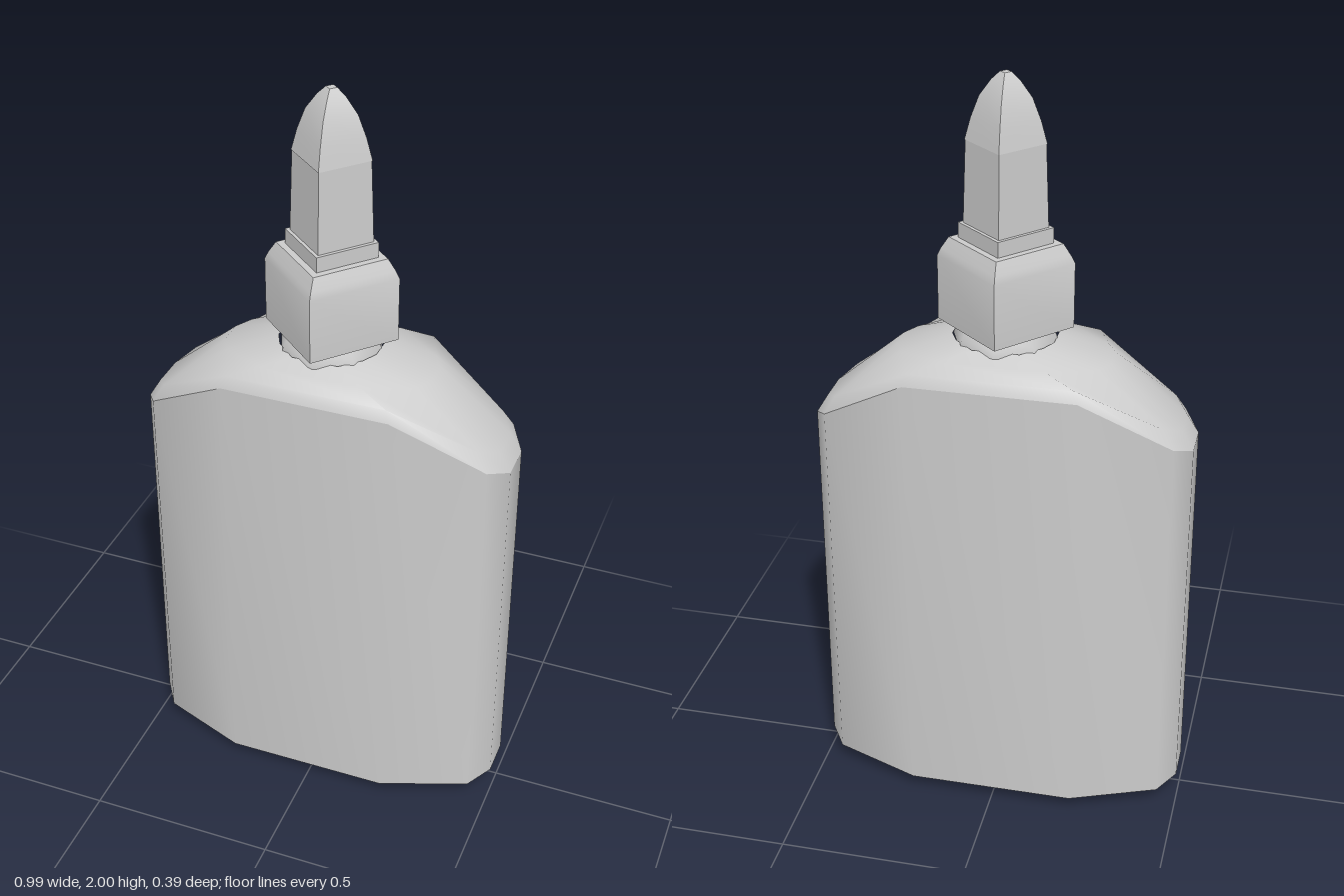
import * as THREE from 'three';
import { toCreasedNormals } from 'three/addons/utils/BufferGeometryUtils.js';

const material = new THREE.MeshStandardMaterial({ color: 0xcccccc });

// One quarter [x, z, y] x 3 mirrored into a closed 12-point ring, counter-clockwise from above
function ring(quarter) {
  const q = quarter.map(([x, z, y]) => [x, y, z]);
  const back = [...q].reverse();
  return [
    ...back.map(([x, y, z]) => [x, y, -z]),
    ...q.map(([x, y, z]) => [-x, y, -z]),
    ...back.map(([x, y, z]) => [-x, y, z]),
    ...q,
  ];
}

// Skin a stack of rings, listed from low to high
function loft(quarters, crease) {
  const rings = quarters.map(ring);
  const n = rings[0].length;
  const index = [];
  for (let r = 0; r < rings.length - 1; r++) {
    for (let i = 0; i < n; i++) {
      const j = (i + 1) % n;
      const a = r * n + i, b = r * n + j, c = a + n, d = b + n;
      index.push(a, b, c, b, d, c);
    }
  }
  const g = new THREE.BufferGeometry();
  g.setAttribute('position', new THREE.Float32BufferAttribute(rings.flat(2), 3));
  g.setIndex(index);
  return toCreasedNormals(g, crease);
}

// Turned part with few sides; profile is [radius, y] from low to high
function turned(profile, sides, crease) {
  const g = new THREE.LatheGeometry(profile.map(([r, y]) => new THREE.Vector2(r, y)), sides);
  return toCreasedNormals(g, crease);
}

export function createModel() {
  const bottle = new THREE.Group();
  bottle.name = 'glueBottle';
  const add = (parent, name, geometry) => {
    const mesh = new THREE.Mesh(geometry, material);
    mesh.name = name;
    parent.add(mesh);
  };

  // Body quarter rings: broad face corner, slanted corner, narrow side corner
  const foot = [[0.22, 0.195, 0.04], [0.45, 0.117, 0.05], [0.495, 0.05, 0.06]];
  const rim = [[0.22, 0.195, 1.25], [0.45, 0.117, 1.11], [0.492, 0.05, 1.08]];
  const centre = [[0, 0, 0], [0, 0, 0], [0, 0, 0]];
  const base = [[0.2, 0.13, 0], [0.41, 0.085, 0.016], [0.455, 0.04, 0.022]];
  add(bottle, 'base', loft([centre, base, foot], 0.5));
  add(bottle, 'bodyWalls', loft([foot, rim], 1.05));

  // Shoulder rises from the dipping rim to the neck
  add(bottle, 'shoulder', loft([
    rim,
    [[0.21, 0.183, 1.28], [0.425, 0.1, 1.155], [0.462, 0.045, 1.13]],
    [[0.13, 0.15, 1.307], [0.25, 0.08, 1.29], [0.275, 0.035, 1.29]],
    [[0.06, 0.115, 1.33], [0.11, 0.07, 1.332], [0.13, 0.03, 1.332]],
  ], 1.1));

  add(bottle, 'neck', turned([[0.135, 1.32], [0.13, 1.34], [0.115, 1.365], [0, 1.365]], 8, 0.9));

  // Four-sided cap and nozzle, turned corner-on
  const top = new THREE.Group();
  top.name = 'capAndNozzle';
  top.rotation.y = 0.06;
  bottle.add(top);
  add(top, 'cap', turned(
    [[0, 1.36], [0.172, 1.36], [0.172, 1.53], [0.162, 1.55], [0.142, 1.58], [0, 1.58]], 4, 0.8));
  add(top, 'collar', turned([[0.118, 1.575], [0.118, 1.62], [0, 1.62]], 4, 0.8));
  add(top, 'nozzle', turned([[0.106, 1.61], [0.098, 1.835], [0, 1.835]], 4, 0.8));
  add(top, 'tip', turned(
    [[0, 1.83], [0.1, 1.83], [0.085, 1.885], [0.064, 1.94], [0.035, 1.98], [0.014, 2], [0, 2]], 4, 0.8));

  return bottle;
}
